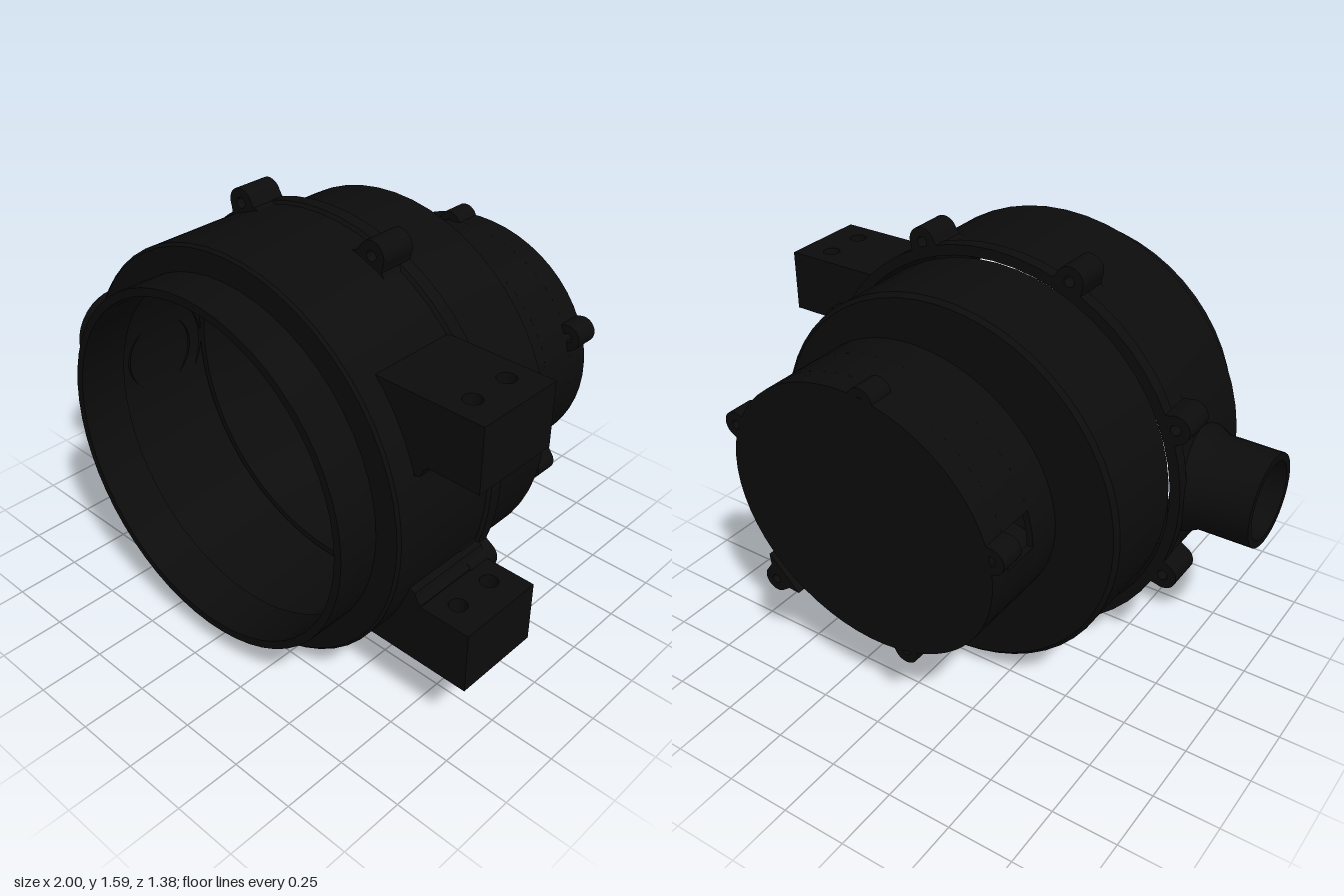
import * as THREE from 'three';
import { toCreasedNormals } from 'three/addons/utils/BufferGeometryUtils.js';

const CX = 0.018, CY = 0.8; // main housing axis
const EX = 0.083, EY = 0.835, EA = 0.556, EB = 0.493, TILT = 0.33; // rear oval section

export function createModel() {
  const group = new THREE.Group();
  const material = new THREE.MeshStandardMaterial({ color: 0x0c0c0c, side: THREE.DoubleSide });

  function add(name, geometry, x = 0, y = 0, z = 0) {
    const mesh = new THREE.Mesh(toCreasedNormals(geometry, 0.6), material);
    mesh.name = name;
    mesh.position.set(x, y, z);
    group.add(mesh);
    return mesh;
  }

  // Lathe of [radius, z] points about the z axis
  function turned(points, segments = 56) {
    const profile = points.map(([r, z]) => new THREE.Vector2(r, z));
    return new THREE.LatheGeometry(profile, segments).rotateX(Math.PI / 2);
  }

  // Plate of a flat shape between two z positions
  function plate(name, shape, z0, z1) {
    const geometry = new THREE.ExtrudeGeometry(shape, { depth: z1 - z0, bevelEnabled: false, curveSegments: 28 });
    return add(name, geometry, 0, 0, z0);
  }

  function circlePath(x, y, r, Type = THREE.Path) {
    return new Type().absarc(x, y, r, 0, Math.PI * 2, false);
  }

  function ovalPath(inset, Type = THREE.Path) {
    return new Type().absellipse(EX, EY, EA - inset, EB - inset, 0, Math.PI * 2, false, TILT);
  }

  // Screw ear: round boss with a neck back towards the centre and a hole
  function ear(name, x, y, angle, r, neck, hole, z0, z1) {
    const shape = new THREE.Shape();
    shape.absarc(0, 0, r, -Math.PI / 2, Math.PI / 2, false);
    shape.lineTo(-neck * 0.5, r * 1.1);
    shape.lineTo(-neck, r * 1.8);
    shape.lineTo(-neck, -r * 1.8);
    shape.lineTo(-neck * 0.5, -r * 1.1);
    shape.closePath();
    shape.holes.push(circlePath(0, 0, hole));
    const mesh = plate(name, shape, z0, z1);
    mesh.position.set(x, y, z0);
    mesh.rotation.z = angle;
  }

  // Front housing ring with a stepped, open rim and a rear flange
  add('frontHousing', turned([
    [0.74, 0.03], [0.78, 0.03], [0.78, 0.08], [0.768, 0.09], [0.768, 0.52], [0.758, 0.53],
    [0.67, 0.53], [0.67, 0.69], [0.64, 0.69], [0.64, 0.5], [0.74, 0.48], [0.74, 0.03],
  ]), CX, CY);

  // Rear housing shell
  add('rearHousing', turned([
    [0.7, 0.05], [0.726, 0.05], [0.726, -0.295], [0.71, -0.31], [0.69, -0.31],
    [0.69, -0.28], [0.7, -0.28], [0.7, 0.05],
  ]), CX, CY);
  const shoulder = circlePath(CX, CY, 0.7, THREE.Shape);
  shoulder.holes.push(ovalPath(0.025));
  plate('rearShoulder', shoulder, -0.31, -0.28);

  // Eight ears around the flange
  for (let i = 0; i < 8; i++) {
    const a = Math.PI / 8 + i * Math.PI / 4;
    ear('flangeEar', CX + 0.8 * Math.cos(a), CY + 0.8 * Math.sin(a), a, 0.054, 0.05, 0.02, 0.03, 0.17);
  }

  // Oval rear section, with a small window in its side wall
  const ovalWall = ovalPath(0, THREE.Shape);
  ovalWall.holes.push(ovalPath(0.025));
  plate('ovalWallFront', ovalWall, -0.45, -0.3);
  plate('ovalWallRear', ovalWall, -0.67, -0.6);
  const from = Math.PI - 0.42 + 0.1, to = from + Math.PI * 2 - 0.28;
  const windowWall = new THREE.Shape();
  windowWall.absellipse(EX, EY, EA, EB, from, to, false, TILT);
  windowWall.absellipse(EX, EY, EA - 0.025, EB - 0.025, to, from, true, TILT);
  windowWall.closePath();
  plate('ovalWallMiddle', windowWall, -0.6, -0.45);
  plate('rearCover', ovalPath(0, THREE.Shape), -0.69, -0.66);

  // Ears on the rear cover
  for (const [x, y] of [[0.61, 1.04], [0.5, 0.41], [0.04, 1.315], [-0.46, 0.9], [-0.1, 0.355]]) {
    ear('coverEar', x, y, Math.atan2(y - EY, x - EX), 0.05, 0.06, 0.018, -0.69, -0.59);
  }

  // Side pipe, open at its end, with a flared root
  const pipe = turned([
    [0.21, 0.71], [0.2, 0.75], [0.18, 0.79], [0.178, 1], [0.15, 1], [0.15, 0.71],
  ], 32).rotateY(-Math.PI / 2);
  add('sidePipe', pipe, 0, CY, 0.255);

  // Two mounting blocks with vertical bolt holes, mirrored above and below the axis
  for (const side of [1, -1]) {
    const block = new THREE.Shape([[0.8, 0.08], [1, 0.08], [1, 0.43], [0.8, 0.43]].map(p => new THREE.Vector2(...p)));
    for (const z of [0.17, 0.335]) block.holes.push(circlePath(0.882, z, 0.033));
    const geometry = new THREE.ExtrudeGeometry(block, { depth: 0.24, bevelEnabled: false, curveSegments: 12 });
    add('mountingBlock', geometry.rotateX(Math.PI / 2), 0, CY + side * 0.4 + 0.12, 0);

    // Root blending the block into the round housing
    const r = 0.755;
    const root = new THREE.Shape();
    root.moveTo(0.8, CY + side * 0.52);
    root.lineTo(0.6, CY + side * 0.52);
    for (let i = 0; i <= 8; i++) {
      const a = 0.76 - i * (0.76 - 0.3) / 8;
      root.lineTo(CX + r * Math.cos(a), CY + side * r * Math.sin(a));
    }
    root.lineTo(0.775, CY + side * 0.235);
    root.lineTo(0.785, CY + side * 0.262);
    root.lineTo(0.8, CY + side * 0.275);
    root.closePath();
    plate('mountingBlockRoot', root, 0.08, 0.43);
  }

  return group;
}
